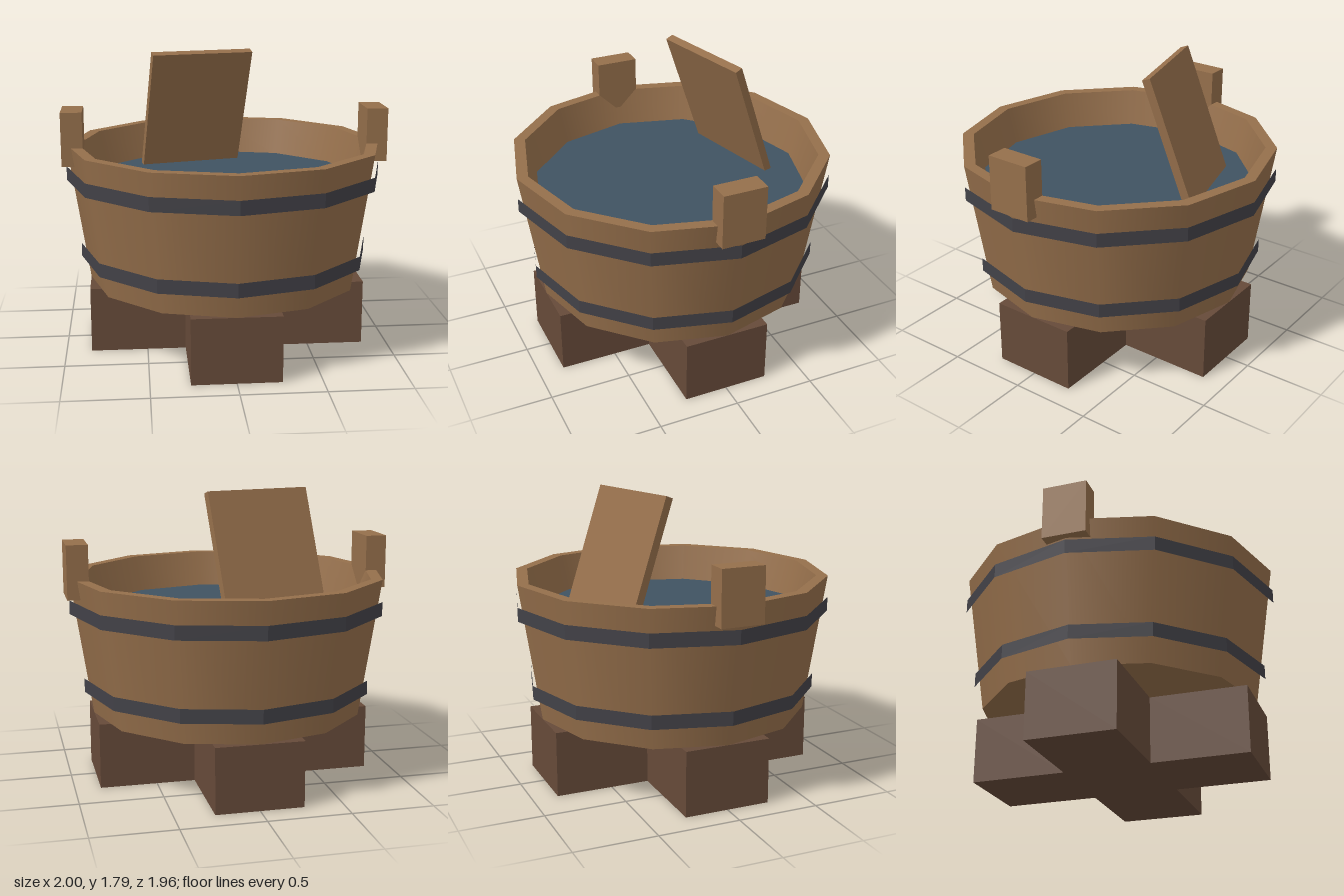
import * as THREE from 'three';
import { mergeGeometries } from 'three/addons/utils/BufferGeometryUtils.js';

const SIDES = 12;

function mat(name, color) {
  const m = new THREE.MeshStandardMaterial({ color });
  m.name = name;
  return m;
}

// One conical surface between two [radius, height] points
const ring = (a, b) =>
  new THREE.LatheGeometry([new THREE.Vector2(...a), new THREE.Vector2(...b)], SIDES);

export function createModel() {
  const wood = mat('wood', 0x956f4b);
  const darkWood = mat('darkWood', 0x664a39);
  const iron = mat('iron', 0x424147);
  const water = mat('water', 0x3f5362);
  const model = new THREE.Group();
  model.name = 'washTub';

  function add(name, geometry, material, x = 0, y = 0, z = 0) {
    const mesh = new THREE.Mesh(geometry, material);
    mesh.name = name;
    mesh.position.set(x, y, z);
    model.add(mesh);
    return mesh;
  }

  // Cross-shaped stand
  const R = 0.845, w = 0.265;
  const cross = new THREE.Shape([
    [w, w], [w, R], [-w, R], [-w, w], [-R, w], [-R, -w],
    [-w, -w], [-w, -R], [w, -R], [w, -w], [R, -w], [R, w],
  ].map(p => new THREE.Vector2(...p)));
  const standGeo = new THREE.ExtrudeGeometry(cross, { depth: 0.4, bevelEnabled: false });
  standGeo.rotateX(-Math.PI / 2);
  add('stand', standGeo, darkWood);

  // Tub shell: underside, outer wall, rim and inner wall, with hard edges between
  const profile = [[0, 0.4], [0.845, 0.4], [0.975, 1.25], [0.905, 1.25], [0.843, 1.02]];
  const walls = profile.slice(1).map((p, i) => ring(profile[i], p));
  add('tub', mergeGeometries(walls), wood);

  // Water surface
  add('waterSurface', ring([0.845, 1.025], [0, 1.025]), water);

  // Faceted hoops standing slightly off the wall
  for (const [name, radius, y] of [['lowerHoop', 0.9, 0.578], ['upperHoop', 0.978, 1.072]]) {
    const hoop = new THREE.CylinderGeometry(radius, radius, 0.085, SIDES, 1, true).toNonIndexed();
    hoop.computeVertexNormals();
    add(name, hoop, iron, 0, y, 0);
  }

  // Handle blocks on both sides
  for (const [name, s] of [['leftHandle', 1], ['rightHandle', -1]]) {
    add(name, new THREE.BoxGeometry(0.13, 0.33, 0.265), wood, s * 0.935, 1.303, 0);
  }

  // Board leaning forward out of the water, origin at its top edge
  const boardGeo = new THREE.BoxGeometry(0.66, 0.95, 0.05);
  boardGeo.translate(0, -0.475, 0);
  const board = add('board', boardGeo, wood, -0.115, 1.78, -0.27);
  board.rotation.set(0.35, 0.25, 0, 'YXZ');

  return model;
}
